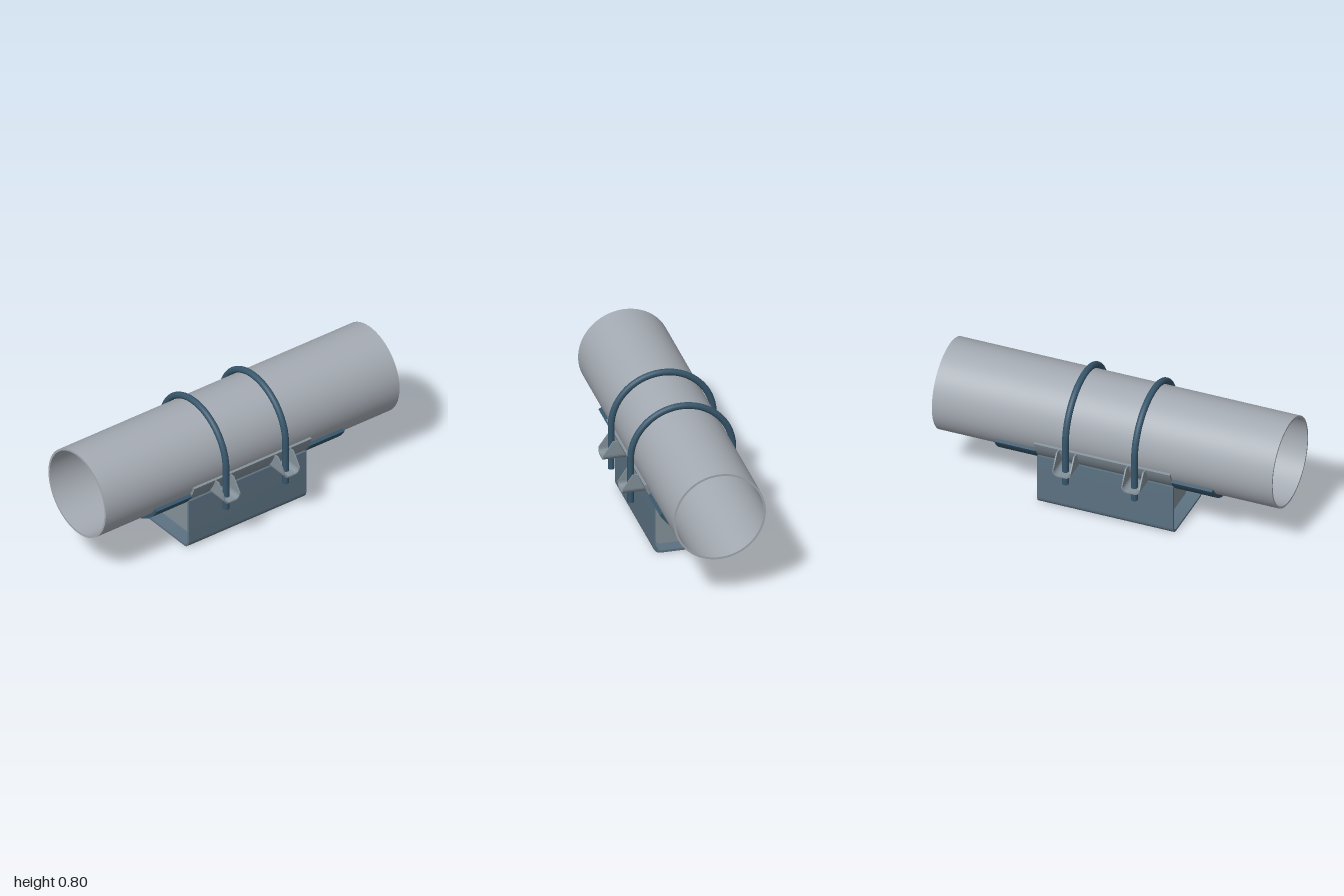
import * as THREE from 'three';
import { mergeGeometries, toCreasedNormals } from 'three/addons/utils/BufferGeometryUtils.js';

const CY = 0.503; // height of the pipe axis
const DOWN = -Math.PI / 2;

const paint = (color) => new THREE.MeshStandardMaterial({ color });
const pipeGrey = paint(0xa5abb3);
const plateGrey = paint(0x84919a);
const channelBlue = paint(0x5c7282);
const darkBlue = paint(0x37566b);

function addMesh(group, name, geometry, material, x = 0) {
  const mesh = new THREE.Mesh(geometry, material);
  mesh.name = name;
  mesh.position.x = x;
  group.add(mesh);
  return mesh;
}

// Extrude a cross-section (drawn across z and y) along x, centred on x = 0
function extrudeX(shape, length, curveSegments = 40) {
  const g = new THREE.ExtrudeGeometry(shape, { depth: length, bevelEnabled: false, curveSegments });
  g.translate(0, 0, -length / 2);
  g.rotateY(Math.PI / 2);
  return toCreasedNormals(g, 0.5);
}

// Curved strip around the pipe axis
function arcBand(rIn, rOut, a0, a1) {
  const s = new THREE.Shape();
  s.absarc(0, CY, rOut, a0, a1, false);
  s.absarc(0, CY, rIn, a1, a0, true);
  return s;
}

// U-shaped section with rounded lower corners
function uSection(half, bottom, top, t, r, breaks = []) {
  const s = new THREE.Shape();
  const h = half - t, ri = r - t;
  s.moveTo(-half, top);
  [...breaks].reverse().forEach((y) => s.lineTo(-half, y));
  s.lineTo(-half, bottom + r);
  s.absarc(-half + r, bottom + r, r, Math.PI, 1.5 * Math.PI, false);
  s.lineTo(half - r, bottom);
  s.absarc(half - r, bottom + r, r, -Math.PI / 2, 0, false);
  breaks.forEach((y) => s.lineTo(half, y));
  s.lineTo(half, top);
  s.lineTo(h, top);
  [...breaks].reverse().forEach((y) => s.lineTo(h, y));
  s.lineTo(h, bottom + r);
  s.absarc(half - r, bottom + r, ri, 0, -Math.PI / 2, true);
  s.lineTo(-half + r, bottom + t);
  s.absarc(-half + r, bottom + r, ri, 1.5 * Math.PI, Math.PI, true);
  breaks.forEach((y) => s.lineTo(-h, y));
  s.lineTo(-h, top);
  return s;
}

// Bolt lug: a U trough whose back follows the cradle and whose cheeks slope in front
function lugGeometry() {
  const section = uSection(0.055, 0.304, 0.42, 0.008, 0.035, [0.341, 0.36, 0.39]);
  const g = new THREE.ExtrudeGeometry(section, { depth: 1, bevelEnabled: false, curveSegments: 8 });
  const p = g.attributes.position;
  for (let i = 0; i < p.count; i++) {
    const y = p.getY(i);
    const back = Math.max(0.212, Math.sqrt(0.272 ** 2 - (CY - y) ** 2));
    const front = y <= 0.341 ? 0.346 : 0.346 - (y - 0.341) * (0.056 / 0.079);
    p.setZ(i, p.getZ(i) < 0.5 ? back : front);
  }
  return toCreasedNormals(g, 0.6);
}

// U-bolt: half ring over the pipe with two straight legs
function uBoltGeometry() {
  const R = 0.288, r = 0.0185, y = 0.491, foot = 0.23;
  const ring = new THREE.TorusGeometry(R, r, 20, 56, Math.PI);
  ring.rotateY(Math.PI / 2);
  ring.translate(0, y, 0);
  const legs = [-1, 1].map((side) => {
    const leg = new THREE.CylinderGeometry(r, r, y - foot, 20);
    leg.translate(0, (y + foot) / 2, side * R);
    return leg;
  });
  return mergeGeometries([ring, ...legs]);
}

export function createModel() {
  const model = new THREE.Group();
  model.name = 'pipeShoe';

  // Hollow pipe
  const tube = new THREE.Shape().absarc(0, CY, 0.26, 0, 2 * Math.PI, false);
  tube.holes.push(new THREE.Path().absarc(0, CY, 0.248, 0, 2 * Math.PI, true));
  addMesh(model, 'pipe', extrudeX(tube, 2, 64), pipeGrey);

  // Cradle under the pipe
  const reach = 1.28;
  addMesh(model, 'cradle', extrudeX(arcBand(0.261, 0.275, DOWN - reach, DOWN + reach), 0.8), plateGrey);

  // Folded base channel
  addMesh(model, 'baseChannel', extrudeX(uSection(0.213, 0, 0.313, 0.013, 0.042), 0.8, 12), channelBlue);

  // Stiffener plates inside the channel, cut to the cradle
  const a = Math.asin(0.197 / 0.274);
  const plate = new THREE.Shape();
  plate.moveTo(-0.197, 0.05);
  plate.lineTo(-0.16, 0.013);
  plate.lineTo(0.16, 0.013);
  plate.lineTo(0.197, 0.05);
  plate.absarc(0, CY, 0.274, DOWN + a, DOWN - a, true);
  const plateGeometry = extrudeX(plate, 0.015);

  // Liner quarters beyond each end of the cradle
  const liners = [-1, 1].map((side) => {
    const [a0, a1] = [side * 0.066, side * 1.05].sort((m, n) => m - n);
    return extrudeX(arcBand(0.261, 0.28, DOWN + a0, DOWN + a1), 0.24);
  });

  const bolt = uBoltGeometry();
  const lug = lugGeometry();
  for (const side of [-1, 1]) {
    addMesh(model, 'stiffenerPlate', plateGeometry, plateGrey, side * 0.312);
    liners.forEach((g) => addMesh(model, 'liner', g, darkBlue, side * 0.52));
    addMesh(model, 'uBolt', bolt, darkBlue, side * 0.203);
    addMesh(model, 'frontLug', lug, plateGrey, side * 0.203);
    addMesh(model, 'backLug', lug, plateGrey, side * 0.203).rotation.y = Math.PI;
  }
  return model;
}
